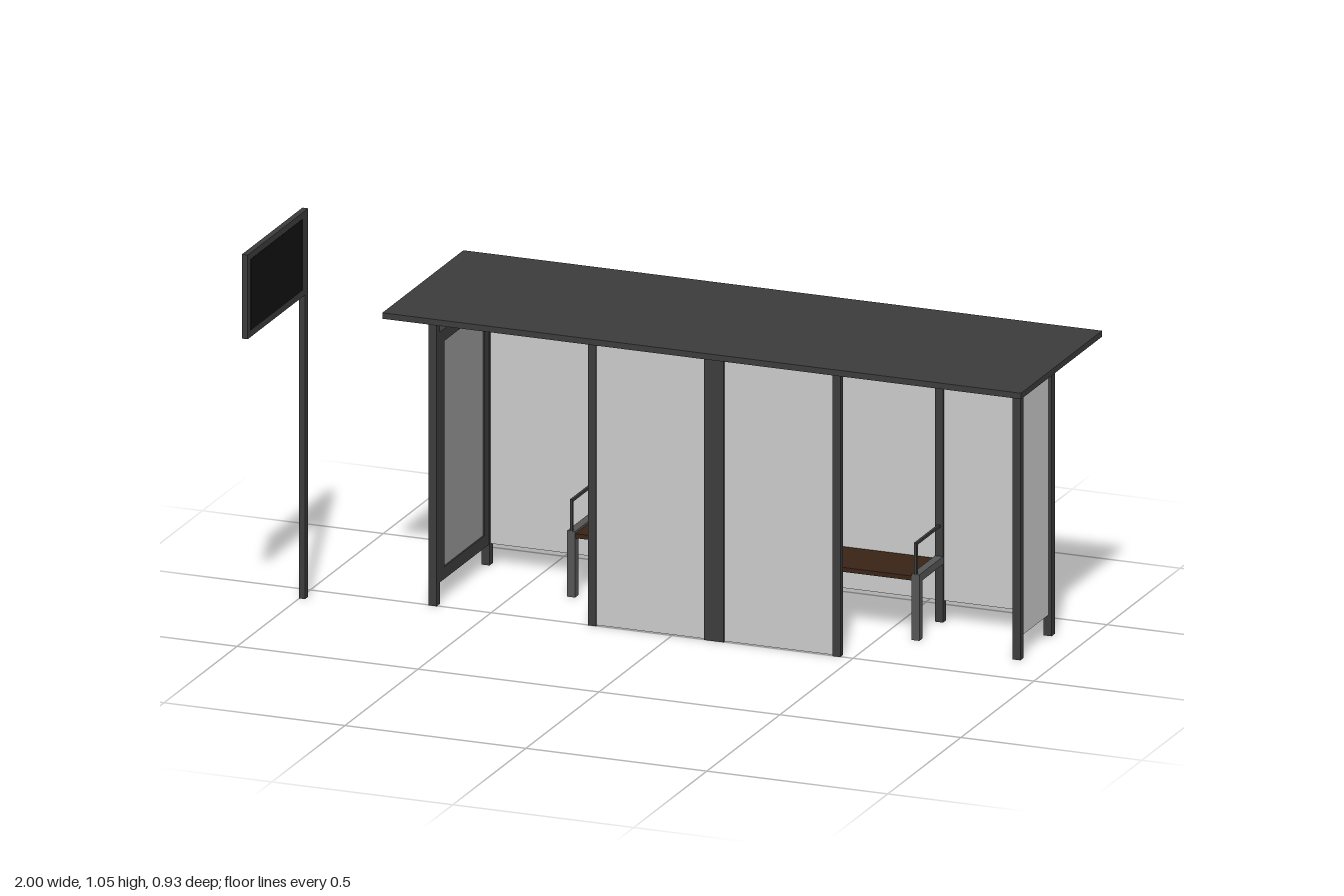
import * as THREE from 'three';

const mat = (color) => new THREE.MeshStandardMaterial({ color });

export function createModel() {
  const model = new THREE.Group();
  const dark = mat(0x3c3c3c), glass = mat(0xcccccc), poster = mat(0x969696);
  const black = mat(0x121212), wood = mat(0x3a2416), steel = mat(0x555555);

  // Box given by its extents along each axis
  const box = (name, [x0, x1], [y0, y1], [z0, z1], material, parent = model) => {
    const mesh = new THREE.Mesh(new THREE.BoxGeometry(x1 - x0, y1 - y0, z1 - z0), material);
    mesh.position.set((x0 + x1) / 2, (y0 + y1) / 2, (z0 + z1) / 2);
    mesh.name = name;
    parent.add(mesh);
    return mesh;
  };
  const around = (c, w) => [c - w / 2, c + w / 2];
  const group = (name) => {
    const g = new THREE.Group();
    g.name = name;
    model.add(g);
    return g;
  };

  const W = 0.022, TOP = 0.79, BACK = -0.369;
  const paneY = [0.057, 0.732];

  // Roof slab
  box('roof', [-0.765, 1], [0.787, 0.803], [-0.466, 0.088], dark);

  // Back wall: six posts with a pane between each pair
  const wall = group('backWall');
  const xs = [-0.66, -0.357, -0.06, 0.295, 0.593, 0.893];
  xs.forEach((x, i) => {
    box('backPost', around(x, W), [0, TOP], around(BACK, W), dark, wall);
    if (i) box('backPane', [xs[i - 1] + W / 2, x - W / 2], paneY, around(BACK, 0.006), glass, wall);
  });

  // Short glazed end
  const shortEnd = group('leftEnd');
  box('endPost', around(0.893, W), [0, TOP], around(-0.156, W), dark, shortEnd);
  box('endPane', around(0.893, 0.006), paneY, [BACK + W / 2, -0.167], glass, shortEnd);

  // Deep end with a framed display panel
  const deepEnd = group('rightEnd');
  const fx = around(-0.66, 0.02), z0 = BACK + W / 2, z1 = -0.018, b = 0.033;
  box('endPost', around(-0.66, W), [0, TOP], around(-0.007, W), dark, deepEnd);
  for (const y of [[paneY[0], paneY[0] + b], [paneY[1] - b, paneY[1]]])
    box('displayFrameRail', fx, y, [z0, z1], dark, deepEnd);
  for (const z of [[z0, z0 + b], [z1 - b, z1]])
    box('displayFrameStile', fx, [paneY[0] + b, paneY[1] - b], z, dark, deepEnd);
  box('displayPanel', around(-0.66, 0.012), [paneY[0] + b, paneY[1] - b], [z0 + b, z1 - b], poster, deepEnd);

  // Front screen: full-height panes with edge posts and a wide centre strip
  const screen = group('frontScreen');
  for (const x of [-0.22, 0.455]) box('screenPost', around(x, W), [0, TOP], around(-0.007, 0.02), dark, screen);
  box('centreStrip', [0.09, 0.144], [0, TOP], around(-0.007, 0.02), dark, screen);
  for (const x of [[-0.209, 0.09], [0.144, 0.444]])
    box('screenPane', x, [0.002, TOP], around(-0.007, 0.012), glass, screen);

  // Bench between two back posts
  const bench = group('bench');
  box('seat', [-0.347, 0.582], [0.16, 0.172], [-0.357, -0.197], wood, bench);
  for (const x of [-0.358, 0.593]) {
    box('benchLeg', around(x, W), [0, 0.178], [-0.218, -0.196], steel, bench);
    box('benchSideRail', around(x, W), [0.157, 0.178], [-0.358, -0.218], steel, bench);
    box('armrest', around(x, 0.007), [0.256, 0.263], [-0.358, -0.197], dark, bench);
    box('armrestUpright', around(x, 0.007), [0.178, 0.256], [-0.204, -0.197], dark, bench);
  }

  // Free-standing sign on a pole
  const sign = group('sign');
  const sx = [-1, -0.984];
  box('signPole', sx, [0, 0.82], [0.053, 0.075], dark, sign);
  box('signFrame', sx, [0.82, 1.047], [0.053, 0.467], dark, sign);
  for (const x of [-0.9995, -0.9845])
    box('signFace', around(x, 0.003), [0.838, 1.03], [0.092, 0.447], black, sign);

  return model;
}
